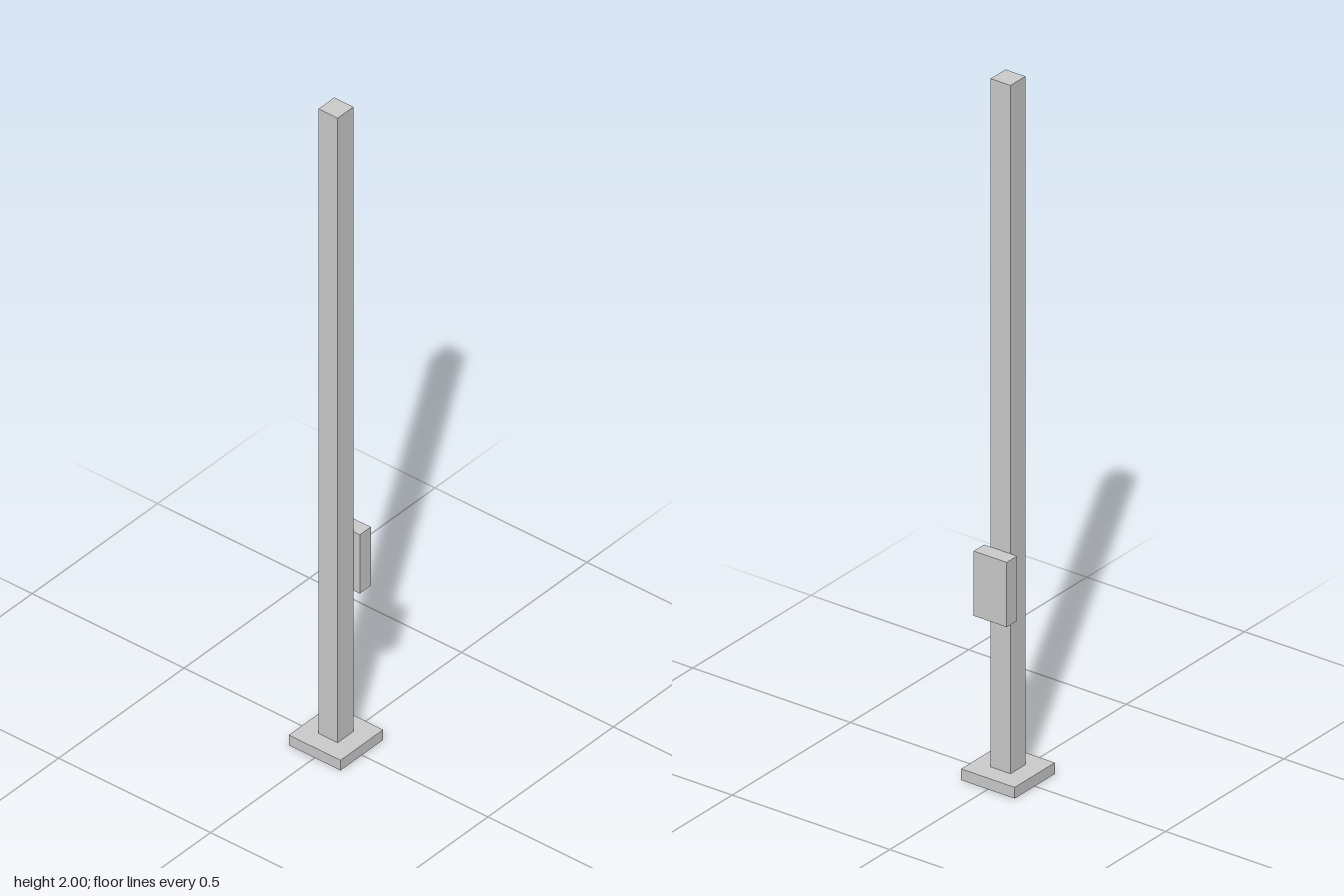
import * as THREE from 'three';

export function createModel() {
  const group = new THREE.Group();
  const material = new THREE.MeshStandardMaterial({ color: 0xcccccc, flatShading: true });

  // Adds a box standing on height y
  const addBox = (name, width, height, depth, y, z = 0) => {
    const mesh = new THREE.Mesh(new THREE.BoxGeometry(width, height, depth), material);
    mesh.name = name;
    mesh.position.set(0, y + height / 2, z);
    group.add(mesh);
  };

  const baseHeight = 0.032;
  const poleWidth = 0.063;
  const boxDepth = 0.044;

  // Square foot plate
  addBox('basePlate', 0.17, baseHeight, 0.17, 0);
  // Tall square pole
  addBox('pole', poleWidth, 2 - baseHeight, poleWidth, baseHeight);
  // Control box fixed to the back of the pole
  addBox('controlBox', 0.105, 0.185, boxDepth, 0.476, -(poleWidth + boxDepth) / 2);

  return group;
}
